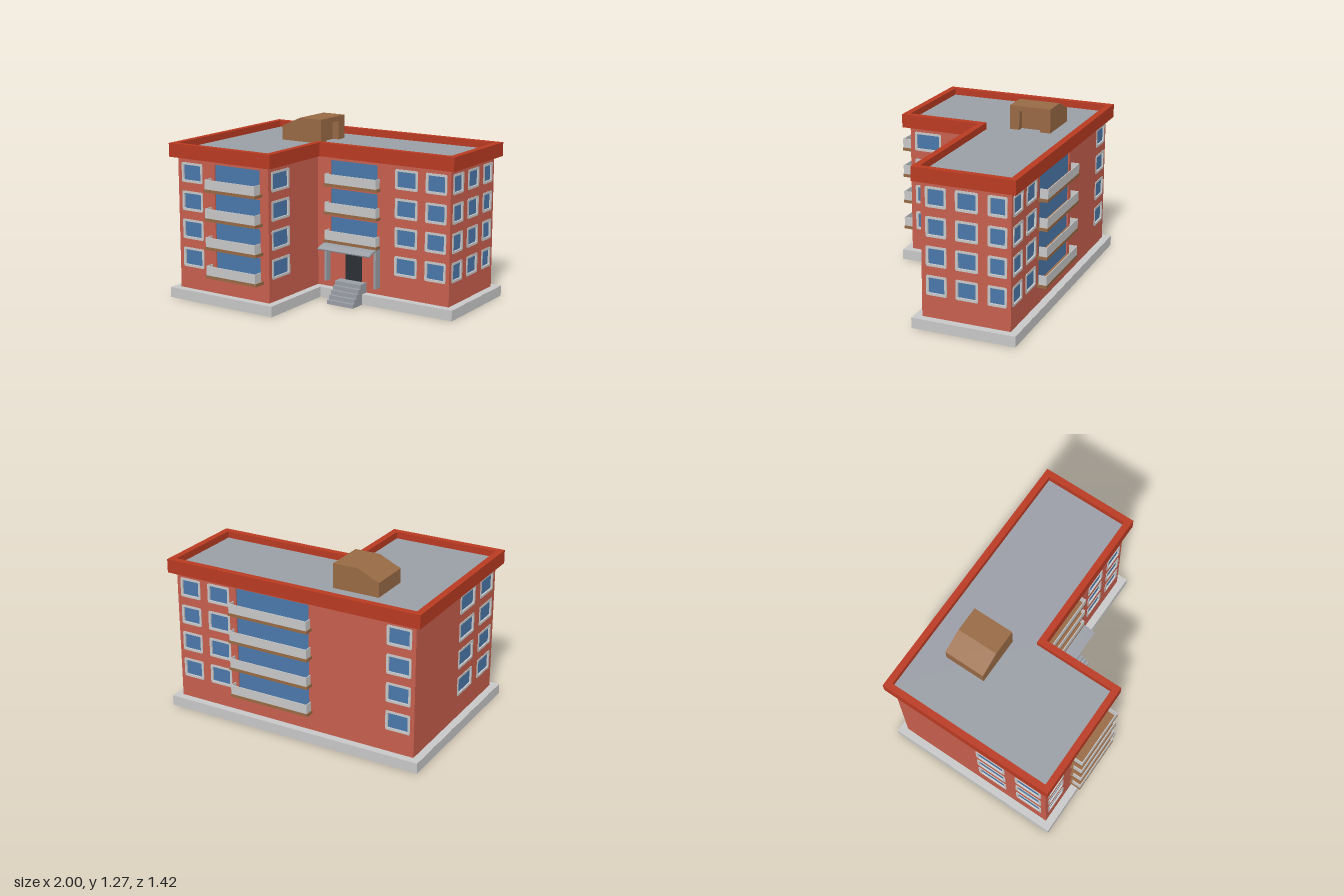
import * as THREE from 'three';

const mat = (name, color, side = THREE.FrontSide) => {
  const m = new THREE.MeshStandardMaterial({ color, side });
  m.name = name;
  return m;
};
const M = {
  wall: mat('brick red', 0xc75f4d),
  parapet: mat('deep red', 0xb93a22),
  roof: mat('slate grey', 0x9a9ea6, THREE.DoubleSide),
  pale: mat('pale concrete', 0xc8c8c8),
  brown: mat('brown', 0x986a45),
  glass: mat('blue glass', 0x4a78aa),
  door: mat('dark door', 0x2c2f36),
};
const ROWS = [0.312, 0.521, 0.729, 0.937]; // window centre heights
const WALL_T = 0.025;

const add = (parent, name, geo, material) => {
  const m = new THREE.Mesh(geo, material);
  m.name = name;
  parent.add(m);
  return m;
};

// Box given by its limits
const box = (parent, name, material, x0, x1, y0, y1, z0, z1) => {
  const g = new THREE.BoxGeometry(x1 - x0, y1 - y0, z1 - z0);
  g.translate((x0 + x1) / 2, (y0 + y1) / 2, (z0 + z1) / 2);
  return add(parent, name, g, material);
};

const poly = (pts, Kind = THREE.Shape) => new Kind(pts.map(p => new THREE.Vector2(...p)));
const rect = (x0, x1, y0, y1) => [[x0, y0], [x1, y0], [x1, y1], [x0, y1]];

function roundRect(x0, x1, y0, y1, r) {
  const s = new THREE.Shape();
  s.absarc(x1 - r, y0 + r, r, -Math.PI / 2, 0);
  s.absarc(x1 - r, y1 - r, r, 0, Math.PI / 2);
  s.absarc(x0 + r, y1 - r, r, Math.PI / 2, Math.PI);
  s.absarc(x0 + r, y0 + r, r, Math.PI, Math.PI * 1.5);
  s.closePath();
  return s;
}

const extrude = (shape, depth, z = 0) => {
  const g = new THREE.ExtrudeGeometry(shape, { depth, bevelEnabled: false, curveSegments: 3 });
  return g.translate(0, 0, z);
};

// L-shaped plan outline, grown outwards from the wall line by d
const plan = d => [
  [-0.945 - d, -0.615 - d], [-0.147 + d, -0.615 - d], [-0.147 + d, -0.006 - d],
  [0.945 + d, -0.006 - d], [0.945 + d, 0.638 + d], [-0.945 - d, 0.638 + d],
];

// L-shaped ring between two outlines
function ring(parent, name, material, dOut, dIn, y0, y1) {
  const s = poly(plan(dOut));
  s.holes.push(poly(plan(dIn), THREE.Path));
  const g = extrude(s, y1 - y0).rotateX(-Math.PI / 2).translate(0, y0, 0);
  return add(parent, name, g, material);
}

// Framed window in a wall group
function windowUnit(parent, u0, u1, yc) {
  const h = 0.0725, t = 0.017;
  const s = roundRect(u0, u1, yc - h, yc + h, 0.012);
  s.holes.push(roundRect(u0 + t, u1 - t, yc - h + t, yc + h - t, 0.006));
  add(parent, 'windowFrame', extrude(s, WALL_T + 0.007, -WALL_T - 0.003), M.pale);
  box(parent, 'windowPane', M.glass, u0 + 0.01, u1 - 0.01, yc - h + 0.01, yc + h - 0.01, -0.016, -0.008);
}

// Balcony with slab, thin U-shaped railing and a wide glass front behind
function balcony(parent, { u0, u1, depth, gap }, yc) {
  box(parent, 'balconySlab', M.brown, u0, u1, yc - 0.104, yc - 0.082, -0.01, depth);
  const a = u0 + 0.006, b = u1 - 0.006, y0 = yc - 0.083, y1 = yc - 0.013, t = 0.006;
  box(parent, 'balconyRailFront', M.pale, a, b, y0, y1, depth - t - 0.001, depth - 0.001);
  for (const x of [a, b - t])
    box(parent, 'balconyRailSide', M.pale, x, x + t, y0, y1, gap, depth - 0.002);
  box(parent, 'balconyGlass', M.glass, u0 + 0.02, u1 - 0.02, yc - 0.09, yc + 0.085, -0.018, -0.01);
}

// Wall with openings; local x runs along the wall and local z points outwards
function wall(parent, name, pos, turn, u0, u1, windows, bal) {
  const g = new THREE.Group();
  g.name = name;
  g.position.set(...pos);
  g.rotation.y = turn;
  const s = poly(rect(u0, u1, 0.072, 1.05));
  for (const yc of ROWS) for (const [a, b] of windows) {
    s.holes.push(poly(rect(a + 0.005, b - 0.005, yc - 0.067, yc + 0.067), THREE.Path));
    windowUnit(g, a, b, yc);
  }
  if (bal) for (const yc of ROWS.slice(bal.from)) {
    s.holes.push(poly(rect(bal.u0 + 0.025, bal.u1 - 0.025, yc - 0.088, yc + 0.081), THREE.Path));
    balcony(g, bal, yc);
  }
  add(g, name + 'Panel', extrude(s, WALL_T, -WALL_T), M.wall);
  parent.add(g);
}

export function createModel() {
  const root = new THREE.Group();
  root.name = 'apartmentBlock';
  const Q = Math.PI / 2;

  // Plinth: open skirt with a ledge
  ring(root, 'plinthSkirt', M.pale, 0.056, 0.051, 0, 0.076);
  ring(root, 'plinthLedge', M.pale, 0.054, -0.01, 0.071, 0.0765);

  // Walls
  wall(root, 'wingFrontWall', [0, 0, 0.615], 0, -0.945, -0.147, [[-0.912, -0.725]],
    { u0: -0.64, u1: -0.195, depth: 0.093, gap: 0.022, from: 0 });
  wall(root, 'mainFrontWall', [0, 0, 0.006], 0, -0.147, 0.945, [[0.505, 0.687], [0.75, 0.917]],
    { u0: -0.06, u1: 0.385, depth: 0.057, gap: 0.002, from: 1 });
  wall(root, 'wingSideWall', [-0.147, 0, 0], Q, -0.615, -0.006, [[-0.58, -0.367]]);
  wall(root, 'rightEndWall', [0.945, 0, 0], Q, -0.006, 0.638,
    [[0.027, 0.178], [0.242, 0.405], [0.473, 0.61]]);
  wall(root, 'backWall', [0, 0, -0.638], Math.PI, -0.945, 0.945,
    [[-0.917, -0.75], [-0.687, -0.505], [0.73, 0.915]],
    { u0: -0.475, u1: 0.16, depth: 0.07, gap: 0.01, from: 0 });
  wall(root, 'leftEndWall', [-0.945, 0, 0], -Q, -0.638, 0.615, [[0.03, 0.27], [0.36, 0.575]]);

  // Parapet and flat roof
  ring(root, 'parapet', M.parapet, 0.046, -0.002, 1.045, 1.145);
  const roofGeo = new THREE.ShapeGeometry(poly(plan(0.005))).rotateX(-Q).translate(0, 1.095, 0);
  add(root, 'flatRoof', roofGeo, M.roof);

  // Roof access house with a doorway notch in its side
  const top = [[-0.222, 1.273], [-0.41, 1.273], [-0.572, 1.2], [-0.572, 1.09]];
  const full = [[-0.222, 1.09], ...top];
  const notched = [[-0.275, 1.09], [-0.275, 1.235], [-0.222, 1.235], ...top];
  for (const [pts, z0, z1] of [[full, -0.458, -0.38], [notched, -0.38, -0.22], [full, -0.22, -0.148]])
    add(root, 'roofHouse', extrude(poly(pts), z1 - z0, z0), M.brown);

  // Entrance: door, side posts, bent canopy and steps
  box(root, 'entranceDoor', M.door, 0.095, 0.232, 0.15, 0.366, -0.025, 0.011);
  for (const x of [-0.054, 0.368])
    box(root, 'entrancePost', M.roof, x, x + 0.017, 0.13, 0.415, -0.03, 0.064);
  const canopy = [[0, 0.405], [0.1, 0.4], [0.152, 0.381], [0.156, 0.39], [0.105, 0.412], [0.06, 0.418], [0, 0.43]];
  const canopyGeo = extrude(poly(canopy.map(([z, y]) => [-z, y])), 0.436).rotateY(Q).translate(-0.052, 0, 0);
  add(root, 'canopy', canopyGeo, M.roof);
  for (let i = 0; i < 5; i++)
    box(root, 'step', M.roof, 0.052, 0.272, i * 0.03, (i + 1) * 0.03, 0.007, 0.187 - i * 0.025);

  return root;
}
